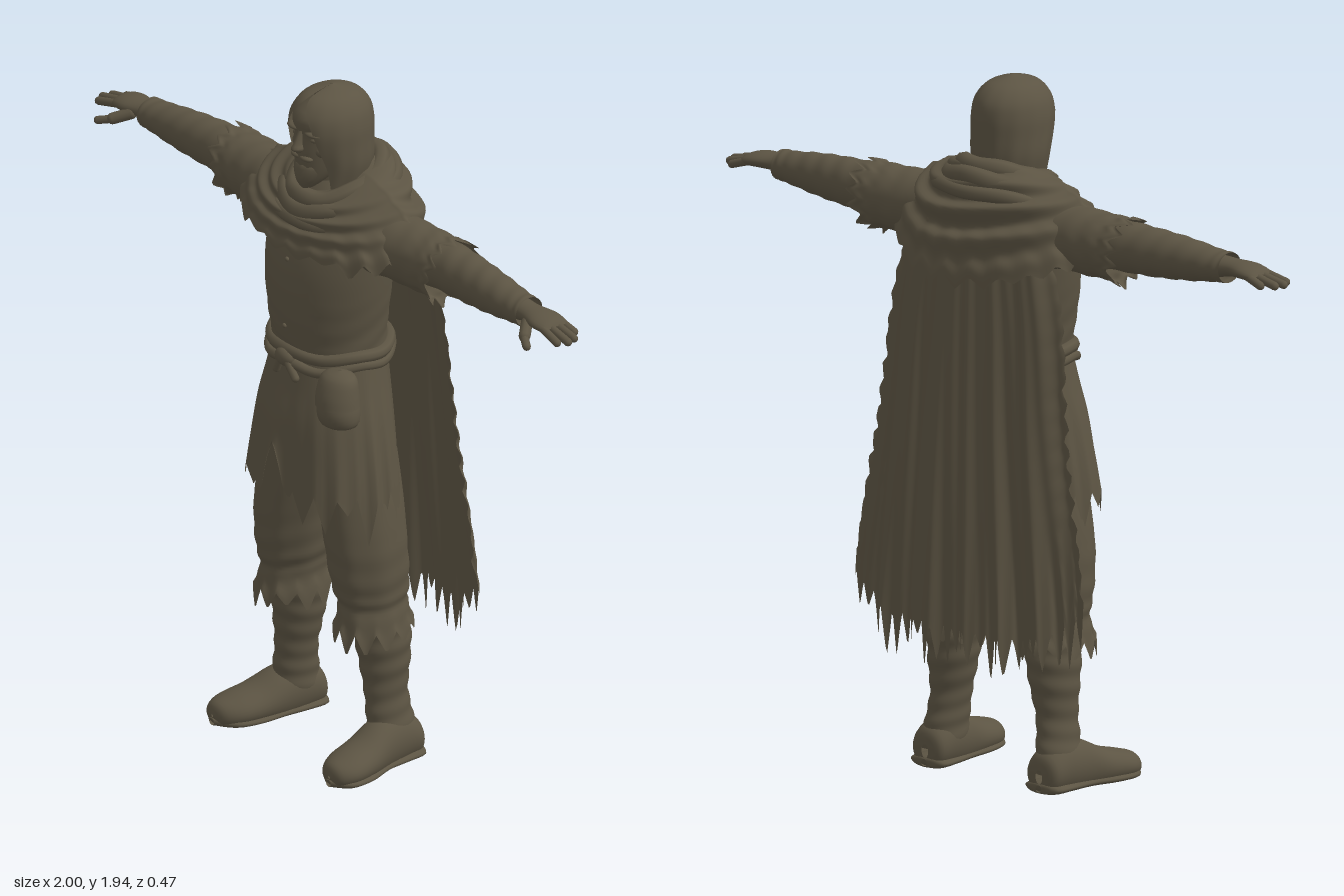
import * as THREE from 'three';
import { mergeVertices } from 'three/addons/utils/BufferGeometryUtils.js';

const { sin, cos, PI, abs, max, pow, floor } = Math;
const lerp = THREE.MathUtils.lerp;
const cloth = new THREE.MeshStandardMaterial({ color: 0x5c5443, side: THREE.DoubleSide });
cloth.name = 'weathered brown';

// smooth interpolation through a list of cross-sections
function sample(S, t) {
  const f = t * (S.length - 1), i = Math.min(floor(f), S.length - 2), k = f - i;
  const at = (j) => S[Math.min(max(j, 0), S.length - 1)];
  return S[i].map((_, c) => {
    const p0 = at(i - 1)[c], p1 = at(i)[c], p2 = at(i + 1)[c], p3 = at(i + 2)[c];
    return p1 + 0.5 * k * (p2 - p0 + k * (2 * p0 - 5 * p1 + 4 * p2 - p3 + k * (3 * (p1 - p2) + p3 - p0)));
  });
}

const hash = (k) => { const s = sin(k * 127.1 + 3.7) * 43758.5453; return s - floor(s); };
// torn edge: triangular teeth of uneven depth, 0..1
const teeth = (u, n, seed = 0) => {
  const k = floor(u * n) % n, f = u * n - floor(u * n);
  return (0.3 + 0.7 * hash(k + seed)) * (1 - abs(2 * f - 1));
};

// grid surface from a point function of u, v in 0..1
function surface(nu, nv, fn) {
  const pos = [], idx = [], w = nu + 1;
  for (let j = 0; j <= nv; j++) for (let i = 0; i <= nu; i++) pos.push(...fn(i / nu, j / nv));
  for (let j = 0; j < nv; j++) for (let i = 0; i < nu; i++) {
    const a = j * w + i, b = a + 1, c = a + w, d = c + 1;
    idx.push(a, c, b, b, c, d);
  }
  let g = new THREE.BufferGeometry();
  g.setAttribute('position', new THREE.Float32BufferAttribute(pos, 3));
  g.setIndex(idx);
  g = mergeVertices(g, 1e-5);
  g.computeVertexNormals();
  return g;
}

// loft of ellipses [cx, cy, cz, a, b, frontGap] along an axis
function loft(axis, S, nu, nv, { ripple = () => 1, move = (p) => p } = {}) {
  return surface(nu, nv, (u, v) => {
    const [x, y, z, a, b, gap = 0] = sample(S, v);
    const t = gap ? PI / 2 + gap + u * (2 * PI - 2 * gap) : PI / 2 + u * 2 * PI;
    const k = ripple(t, v), c = cos(t) * a * k, s = sin(t) * b * k;
    const p = axis === 'y' ? [x + c, y, z + s] : axis === 'x' ? [x, y + c, z - s] : [x + c, y - s, z];
    return move(p, u, v);
  });
}

const ball = (x, y, z, a, b, c) => new THREE.SphereGeometry(1, 18, 12).scale(a, b, c).translate(x, y, z);

// tapered rounded limb between two points
function digit(a, b, r) {
  const A = new THREE.Vector3(...a), B = new THREE.Vector3(...b), d = B.clone().sub(A);
  const g = new THREE.CapsuleGeometry(r, d.length() - r, 5, 10);
  g.applyQuaternion(new THREE.Quaternion().setFromUnitVectors(new THREE.Vector3(0, 1, 0), d.normalize()));
  return g.translate(...A.add(B).multiplyScalar(0.5).toArray());
}

// closed rope round the body, with separate front and back heights
function rope(a, b, cz, yFront, yBack, r, wave = 0) {
  const pts = [];
  for (let i = 0; i < 28; i++) {
    const t = i / 28 * 2 * PI, f = 0.5 + 0.5 * sin(t);
    pts.push(new THREE.Vector3(a * cos(t), lerp(yBack, yFront, f) + wave * sin(5 * t), cz + b * sin(t)));
  }
  return new THREE.TubeGeometry(new THREE.CatmullRomCurve3(pts, true), 72, r, 8, true);
}

export function createModel() {
  const model = new THREE.Group();
  model.name = 'cloakedWanderer';
  const add = (name, g) => {
    const m = new THREE.Mesh(g, cloth);
    m.name = name;
    model.add(m);
  };
  const pair = (name, g) => {
    add(name + 'Left', g);
    const h = g.clone().applyMatrix4(new THREE.Matrix4().makeScale(-1, 1, 1));
    const ix = h.index.array;
    for (let i = 0; i < ix.length; i += 3) [ix[i], ix[i + 1]] = [ix[i + 1], ix[i]];
    add(name + 'Right', h);
  };

  // head and face
  add('face', loft('y', [[0, 1.655, 0.11, 0.004, 0.004], [0, 1.68, 0.095, 0.033, 0.036], [0, 1.72, 0.07, 0.058, 0.066],
    [0, 1.77, 0.05, 0.073, 0.09], [0, 1.82, 0.045, 0.082, 0.09], [0, 1.87, 0.04, 0.085, 0.095], [0, 1.92, 0.03, 0.04, 0.05]], 32, 24));
  add('nose', loft('y', [[0, 1.77, 0.135, 0.004, 0.004], [0, 1.783, 0.142, 0.017, 0.022], [0, 1.80, 0.138, 0.011, 0.019],
    [0, 1.835, 0.13, 0.008, 0.01]], 12, 9));
  pair('brow', ball(0.036, 1.832, 0.115, 0.034, 0.009, 0.024));
  pair('eye', ball(0.034, 1.813, 0.114, 0.016, 0.009, 0.014));
  pair('cheek', ball(0.043, 1.78, 0.095, 0.025, 0.022, 0.025));
  pair('moustache', ball(0.018, 1.757, 0.128, 0.024, 0.009, 0.016).rotateZ(0));
  add('beard', loft('y', [[0, 1.655, 0.12, 0.003, 0.003], [0, 1.69, 0.105, 0.034, 0.038], [0, 1.73, 0.09, 0.05, 0.05],
    [0, 1.745, 0.09, 0.03, 0.035]], 24, 10, { ripple: (t) => 1 + 0.04 * sin(11 * t) }));
  add('hair', loft('y', [[0, 1.67, 0.02, 0.092, 0.1, 0.85], [0, 1.73, 0.018, 0.106, 0.108, 0.72], [0, 1.79, 0.025, 0.107, 0.118, 0.62],
    [0, 1.84, 0.028, 0.105, 0.122, 0.5], [0, 1.885, 0.028, 0.092, 0.112, 0.3], [0, 1.922, 0.028, 0.06, 0.075, 0.06], [0, 1.942, 0.025, 0.002, 0.002, 0.01]],
  64, 28, { ripple: (t, v) => 1 + 0.012 * sin(13 * t + 5 * v) * (1 - v) }));
  add('neck', new THREE.CylinderGeometry(0.06, 0.075, 0.18, 20).translate(0, 1.65, 0.01));

  // tunic body, with wrinkles near the waist
  add('tunic', loft('y', [[0, 1.16, 0.03, 0.165, 0.14], [0, 1.25, 0.037, 0.172, 0.15], [0, 1.36, 0.037, 0.19, 0.156],
    [0, 1.46, 0.03, 0.2, 0.152], [0, 1.56, 0.01, 0.2, 0.135], [0, 1.64, 0, 0.13, 0.1], [0, 1.69, 0, 0.06, 0.06]], 56, 32,
  { ripple: (t, v) => 1 + 0.018 * sin(v * 55 + 3 * sin(2 * t)) * max(0, 1 - v * 2.6) }));
  for (let i = 0; i < 4; i++) add('button', ball(0, 1.27 + i * 0.065, 0.19 - 0.003 * i, 0.007, 0.007, 0.006));

  // skirt with a torn hem and a slit in front
  add('skirt', loft('y', [[0, 0.79, 0.055, 0.247, 0.178], [0, 0.88, 0.052, 0.235, 0.172], [0, 1.0, 0.047, 0.212, 0.164],
    [0, 1.1, 0.038, 0.187, 0.152], [0, 1.2, 0.03, 0.165, 0.14]], 168, 24, {
    ripple: (t, v) => 1 + 0.028 * sin(9 * t + 1.3 * sin(3 * t)) * pow(1 - v, 1.3),
    move: (p, u, v) => {
      const w = pow(1 - v, 2.5), slit = p[2] > 0 ? max(0, 1 - abs(p[0]) / 0.06) : 0;
      p[1] += w * (0.13 * slit + 0.02 - 0.14 * teeth(u, 21, 4) * (1 - slit));
      return p;
    },
  }));

  // belt, knot and pouch
  add('belt', rope(0.172, 0.147, 0.03, 1.195, 1.2, 0.018, 0.004));
  add('beltCord', rope(0.18, 0.152, 0.031, 1.16, 1.185, 0.014, 0.008));
  add('beltKnot', ball(0, 1.178, 0.188, 0.035, 0.026, 0.022));
  add('beltEnds', digit([0.015, 1.175, 0.195], [0.05, 1.125, 0.19], 0.011));
  add('beltEnds', digit([-0.01, 1.175, 0.195], [-0.03, 1.13, 0.195], 0.011));
  add('pouch', loft('y', [[0.176, 1.028, 0.145, 0.01, 0.01], [0.177, 1.033, 0.145, 0.054, 0.045], [0.177, 1.07, 0.147, 0.063, 0.057],
    [0.172, 1.12, 0.143, 0.056, 0.05], [0.168, 1.165, 0.138, 0.046, 0.036], [0.168, 1.178, 0.136, 0.008, 0.008]], 28, 18));
  add('pouchFlap', loft('y', [[0.176, 1.09, 0.149, 0.064, 0.06], [0.172, 1.125, 0.146, 0.062, 0.056],
    [0.168, 1.168, 0.138, 0.051, 0.041], [0.168, 1.182, 0.136, 0.005, 0.005]], 28, 10));

  // trousers, gathered and torn below the knee
  pair('trouserLeg', loft('y', [[0.168, 0.405, 0.018, 0.097, 0.118], [0.165, 0.46, 0.018, 0.084, 0.1], [0.16, 0.53, 0.023, 0.094, 0.112],
    [0.15, 0.64, 0.03, 0.104, 0.116], [0.13, 0.76, 0.03, 0.108, 0.118], [0.11, 0.9, 0.03, 0.1, 0.115]], 84, 36, {
    ripple: (t, v) => 1 + 0.028 * sin(v * 42 + 2 * sin(t + 1)) * max(0, 1 - abs(v - 0.3) * 2.5) + 0.012 * sin(7 * t),
    move: (p, u, v) => { p[1] -= 0.07 * teeth(u, 12, 9) * pow(max(0, 1 - v * 5), 1.5); return p; },
  }));

  // boots with wrapped shafts
  pair('bootShaft', loft('y', [[0.208, 0.05, -0.02, 0.06, 0.075], [0.2, 0.12, -0.012, 0.053, 0.07], [0.19, 0.2, -0.007, 0.052, 0.064],
    [0.182, 0.29, -0.008, 0.066, 0.073], [0.175, 0.38, -0.005, 0.074, 0.082], [0.17, 0.46, 0, 0.072, 0.08]], 32, 48,
  { ripple: (t, v) => 1 + 0.03 * sin(v * 46 + t) }));
  pair('bootFoot', loft('z', [[0.205, 0.045, -0.097, 0.012, 0.02], [0.206, 0.05, -0.085, 0.053, 0.055], [0.208, 0.06, -0.03, 0.062, 0.075],
    [0.215, 0.055, 0.04, 0.064, 0.075], [0.228, 0.042, 0.11, 0.07, 0.055], [0.24, 0.035, 0.18, 0.068, 0.043], [0.246, 0.03, 0.225, 0.042, 0.032],
    [0.248, 0.03, 0.238, 0.004, 0.004]], 32, 30, { move: (p) => [p[0], max(p[1], 0.004), p[2]] }));
  pair('bootSole', loft('z', [[0.206, 0.013, -0.1, 0.01, 0.01], [0.206, 0.013, -0.085, 0.06, 0.017], [0.21, 0.013, -0.02, 0.065, 0.017],
    [0.217, 0.013, 0.05, 0.064, 0.017], [0.232, 0.013, 0.13, 0.076, 0.017], [0.243, 0.013, 0.2, 0.064, 0.017], [0.248, 0.013, 0.24, 0.01, 0.01]], 28, 24,
  { move: (p) => [p[0], max(p[1], 0), p[2]] }));

  // forearms and torn upper sleeves
  pair('forearm', loft('x', [[0.2, 1.545, -0.01, 0.075, 0.08], [0.42, 1.55, -0.015, 0.07, 0.07], [0.55, 1.55, -0.012, 0.066, 0.064],
    [0.66, 1.55, -0.006, 0.058, 0.057], [0.76, 1.55, -0.002, 0.045, 0.05], [0.805, 1.551, 0, 0.042, 0.046]], 32, 48,
  { ripple: (t, v) => 1 + 0.022 * sin(v * 50 + 2 * sin(t)) }));
  pair('upperSleeve', loft('x', [[0.14, 1.53, 0, 0.1, 0.1], [0.24, 1.54, -0.006, 0.092, 0.095], [0.33, 1.538, -0.013, 0.09, 0.09],
    [0.41, 1.54, -0.016, 0.087, 0.086], [0.45, 1.54, -0.016, 0.09, 0.088]], 84, 28, {
    ripple: (t, v) => 1 + 0.025 * sin(v * 30 + 2 * sin(2 * t)) * v,
    move: (p, u, v) => {
      const low = max(0, (1.54 - p[1]) / 0.09), w = pow(v, 4);
      p[0] += w * (0.055 * teeth(u, 13, 2) - 0.03 * low);
      p[1] -= w * 0.045 * low * teeth(u, 13, 6);
      return p;
    },
  }));

  // hands
  pair('palm', loft('x', [[0.78, 1.551, 0, 0.03, 0.036], [0.82, 1.554, 0.002, 0.024, 0.036], [0.87, 1.554, 0.002, 0.022, 0.048],
    [0.91, 1.55, 0, 0.017, 0.045], [0.925, 1.549, 0, 0.004, 0.035]], 24, 16));
  [[0.983, 0.036], [0.998, 0.012], [0.99, -0.013], [0.96, -0.036]].forEach(([tip, z], i) =>
    pair('finger' + (i + 1), digit([0.89, 1.552, z * 0.9], [tip - 0.005, 1.532, z * 1.1], 0.0115)));
  pair('thumb', digit([0.835, 1.546, 0.03], [0.88, 1.524, 0.077], 0.016));
  pair('thumbTip', digit([0.873, 1.526, 0.072], [0.915, 1.514, 0.096], 0.0115));

  // mantle draped over the shoulders in deep folds
  add('mantle', surface(160, 48, (u, w) => {
    const t = PI / 2 + u * 2 * PI, v = 1 - w, s = sin(t), f = max(0, s), k = max(0, -s);
    const q = pow(v, 0.7), fold = 0.011 * sin(v * 27 + 1.5 * sin(2 * t)) * sin(v * PI) * (0.35 + k + 0.3 * f);
    const torn = pow(v, 6) * 0.05 * teeth(u, 23, 7);
    const a = lerp(0.09, 0.355, q) + fold, b = lerp(0.1, s > 0 ? 0.19 : 0.205, pow(v, 0.55)) + fold;
    const top = 1.705 + 0.03 * k - 0.055 * f, hem = 1.59 - 0.085 * pow(f, 0.7) - 0.16 * pow(k, 0.8);
    return [a * cos(t), lerp(top, hem, pow(v, 1.25)) + fold * 0.6 - torn, b * s - 0.002];
  }));
  // cowl rolls lying round the neck
  add('cowlRoll', rope(0.112, 0.12, 0.005, 1.635, 1.715, 0.026, 0.003));
  add('cowlRoll', rope(0.15, 0.142, -0.002, 1.605, 1.69, 0.026, -0.004));
  add('cowlRoll', rope(0.19, 0.16, -0.006, 1.575, 1.655, 0.02, 0.003));

  // long cape with hanging folds and torn edges
  add('cape', surface(200, 56, (u, w) => {
    const v = 1 - w, e = 2 * u - 1, ae = abs(e);
    const [half] = sample([[0.25], [0.305], [0.335], [0.375], [0.415]], v);
    const hem = 0.45 + 0.13 * pow(ae, 5), rag = pow(max(0, v - 0.72) / 0.28, 1.6);
    const side = pow(ae, 14) * 0.03 * teeth(v, 15, 3);
    const x = e * half - Math.sign(e) * side;
    const y = lerp(1.57, hem, v) - 0.14 * rag * teeth(u, 27, 11);
    const fold = (0.3 + 0.7 * v) * (0.014 * sin(e * 19 + sin(e * 5 + v * 2)) + 0.005 * sin(e * 41 + v * 3));
    const z = lerp(-0.155, -0.212, pow(v, 0.7)) + 0.065 * pow(ae, 3) + fold;
    return [x, y, z];
  }));
  return model;
}
